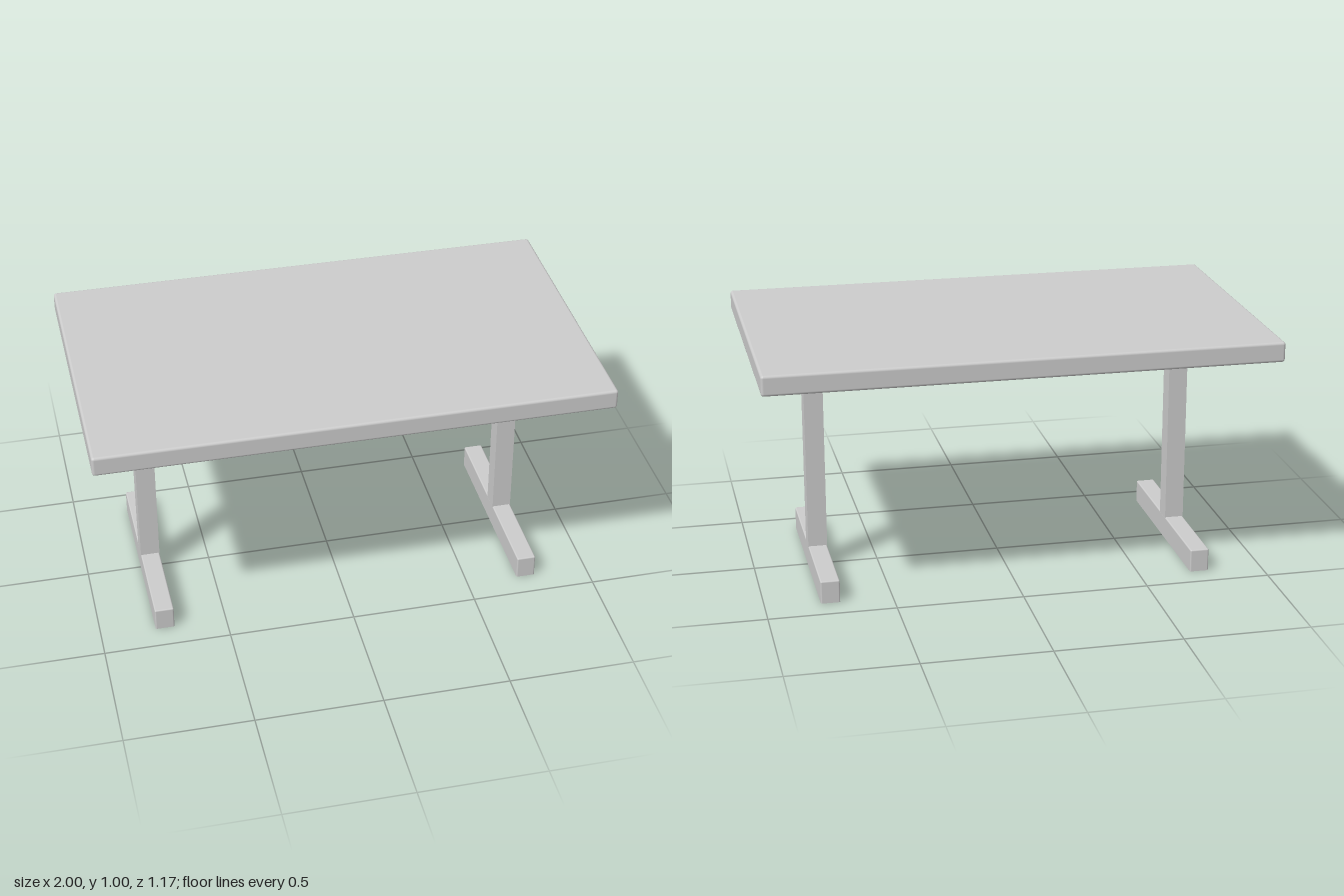
import * as THREE from 'three';
import { RoundedBoxGeometry } from 'three/addons/geometries/RoundedBoxGeometry.js';

const material = new THREE.MeshStandardMaterial({ color: 0xcccccc });
const shellMaterial = new THREE.MeshStandardMaterial({ color: 0xcccccc, side: THREE.DoubleSide });

const LEG_X = 0.745;
const LEG_W = 0.076;

function addMesh(parent, name, geometry, y = 0, mat = material) {
  const mesh = new THREE.Mesh(geometry, mat);
  mesh.name = name;
  mesh.position.y = y;
  parent.add(mesh);
}

// Upper half of a rounded box: rounded top, open underside at y = 0
function openShell(w, h, d, r) {
  const source = new RoundedBoxGeometry(w, 2 * h, d, 2, r);
  const pos = source.attributes.position, nor = source.attributes.normal;
  const positions = [], normals = [];
  for (let i = 0; i < pos.count; i += 3) {
    const ids = [i, i + 1, i + 2];
    if (ids.every((k) => pos.getY(k) < 0)) continue;
    for (const k of ids) {
      positions.push(pos.getX(k), Math.max(0, pos.getY(k)), pos.getZ(k));
      normals.push(nor.getX(k), nor.getY(k), nor.getZ(k));
    }
  }
  const geometry = new THREE.BufferGeometry();
  geometry.setAttribute('position', new THREE.Float32BufferAttribute(positions, 3));
  geometry.setAttribute('normal', new THREE.Float32BufferAttribute(normals, 3));
  return geometry;
}

// Tapered bracket under the top, drawn in the z-y plane and extruded across x
function bracketGeometry() {
  const half = [[0.037, 0.828], [0.297, 0.857], [0.309, 0.863], [0.354, 0.921]];
  const points = [
    ...half.map(([z, y]) => new THREE.Vector2(z, y)),
    ...half.slice().reverse().map(([z, y]) => new THREE.Vector2(-z, y)),
  ];
  const geometry = new THREE.ExtrudeGeometry(new THREE.Shape(points), { depth: LEG_W, bevelEnabled: false });
  geometry.translate(0, 0, -LEG_W / 2);
  geometry.rotateY(Math.PI / 2);
  return geometry;
}

export function createModel() {
  const table = new THREE.Group();
  table.name = 'table';

  // Slab with softened edges
  addMesh(table, 'tableTop', new RoundedBoxGeometry(2, 0.08, 1.17, 3, 0.011), 0.96);

  // Two matching T-shaped legs
  for (const side of [1, -1]) {
    const leg = new THREE.Group();
    leg.name = side > 0 ? 'leftLeg' : 'rightLeg';
    leg.position.x = side * LEG_X;
    addMesh(leg, 'foot', openShell(LEG_W, 0.092, 0.8, 0.006), 0, shellMaterial);
    addMesh(leg, 'post', new THREE.BoxGeometry(LEG_W, 0.746, LEG_W), 0.461);
    addMesh(leg, 'bracket', bracketGeometry());
    table.add(leg);
  }
  return table;
}
